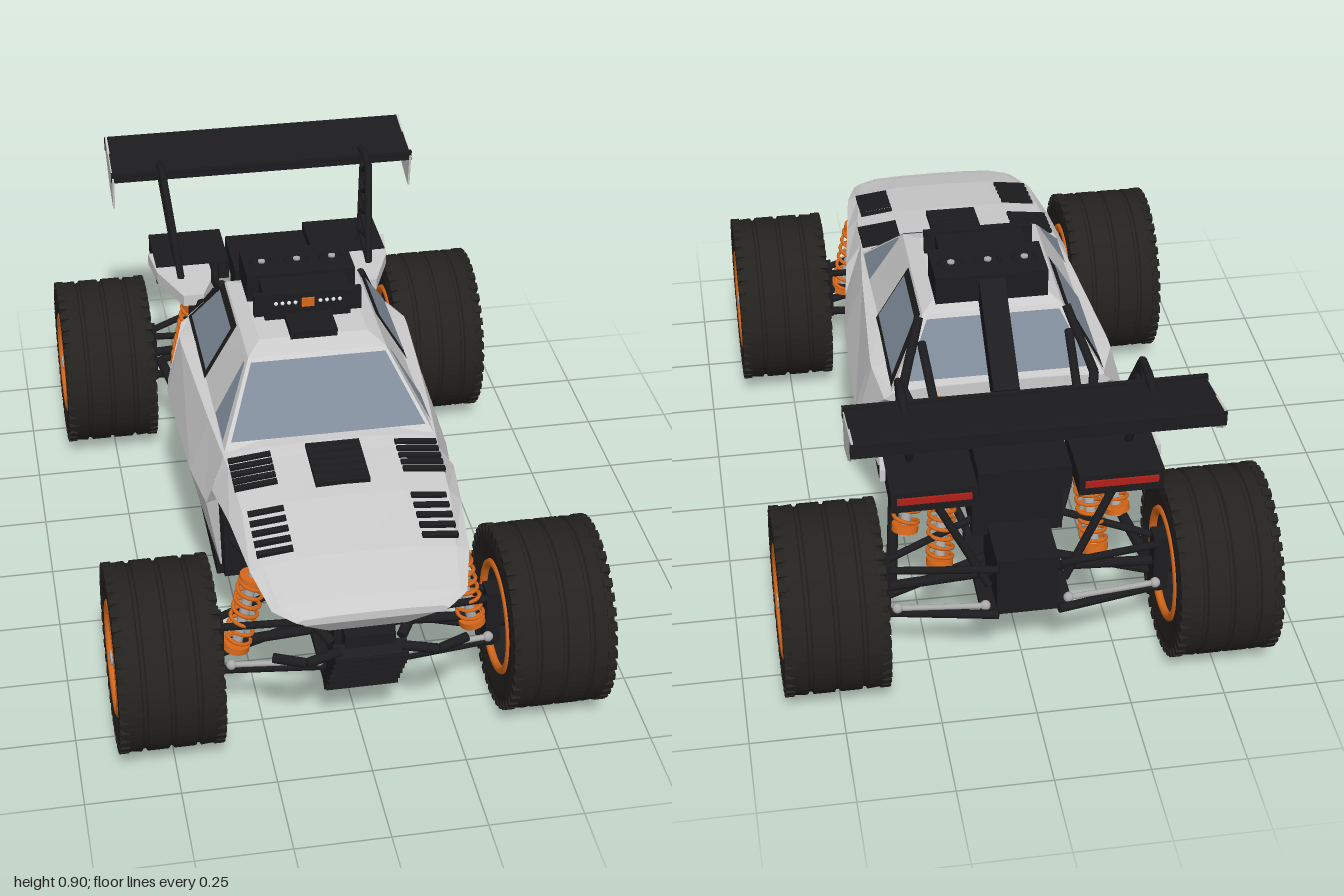
import * as THREE from 'three';
import { mergeGeometries } from 'three/addons/utils/BufferGeometryUtils.js';

const mat = (color, extra = {}) => new THREE.MeshStandardMaterial({ color, ...extra });
const GREY = mat(0xcccccc, { flatShading: true, side: THREE.DoubleSide });
const BLACK = mat(0x1c1c1e), TIRE = mat(0x24221f, { flatShading: true }), ORANGE = mat(0xd8681a);
const GLASS = mat(0x7f8b99, { side: THREE.DoubleSide }), FRAME = mat(0x1c1c1e, { side: THREE.DoubleSide });
const SILVER = mat(0xaaaaaa), RED = mat(0xb02018), WHITE = mat(0xdde4ea);
const V = (p) => new THREE.Vector3(...p);

// helix for the coil springs
class Helix extends THREE.Curve {
  constructor(len, r, turns) { super(); Object.assign(this, { len, r, turns }); }
  getPoint(t, out = new THREE.Vector3()) {
    const a = t * this.turns * Math.PI * 2;
    return out.set(Math.cos(a) * this.r, (t - 0.5) * this.len, Math.sin(a) * this.r);
  }
}

export function createModel() {
  const root = new THREE.Group();
  const add = (name, geo, m, pos = [0, 0, 0], rot = [0, 0, 0], parent = root) => {
    const mesh = new THREE.Mesh(geo, m);
    mesh.name = name;
    mesh.position.set(...pos);
    mesh.rotation.set(...rot);
    parent.add(mesh);
    return mesh;
  };
  const box = (name, size, pos, m = BLACK, rot, parent) => add(name, new THREE.BoxGeometry(...size), m, pos, rot, parent);
  // round rod between two points
  const rod = (name, a, b, r = 0.011, m = BLACK) => {
    const d = V(b).sub(V(a));
    const mesh = add(name, new THREE.CylinderGeometry(r, r, d.length(), 10), m, V(a).add(V(b)).multiplyScalar(0.5).toArray());
    mesh.quaternion.setFromUnitVectors(new THREE.Vector3(0, 1, 0), d.normalize());
    return mesh;
  };
  const chain = (name, pts, r) => pts.slice(1).forEach((p, i) => rod(name, pts[i], p, r));
  // rectangular beam between two points
  const beam = (name, a, b, w, h) => {
    const mesh = box(name, [w, h, V(a).distanceTo(V(b))], V(a).add(V(b)).multiplyScalar(0.5).toArray());
    mesh.lookAt(V(b));
  };
  // skin over a series of closed rings, capped at both ends
  const loft = (name, rings, m) => {
    const pos = [], n = rings[0].length, last = rings.length - 1;
    const tri = (...ps) => ps.forEach((p) => pos.push(...p));
    for (let i = 0; i < last; i++) for (let j = 0; j < n; j++) {
      const k = (j + 1) % n, A = rings[i], B = rings[i + 1];
      tri(A[j], A[k], B[k]);
      tri(A[j], B[k], B[j]);
    }
    for (let j = 1; j < n - 1; j++) {
      tri(rings[0][0], rings[0][j + 1], rings[0][j]);
      tri(rings[last][0], rings[last][j], rings[last][j + 1]);
    }
    const g = new THREE.BufferGeometry();
    g.setAttribute('position', new THREE.Float32BufferAttribute(pos, 3));
    g.computeVertexNormals();
    add(name, g, m);
  };
  // thin flat pane from four corners
  const pane = (name, c, m) => {
    const g = new THREE.BufferGeometry();
    g.setAttribute('position', new THREE.Float32BufferAttribute([0, 1, 2, 0, 2, 3].flatMap((i) => c[i]), 3));
    g.computeVertexNormals();
    add(name, g, m);
  };
  const extrude = (pts, depth) => new THREE.ExtrudeGeometry(new THREE.Shape(pts.map((p) => new THREE.Vector2(...p))), { depth, bevelEnabled: false });

  // body shell: z, top y, then hood crease, hood edge, shoulder and bottom as x, y
  const sections = [
    [0.975, 0.508, 0.1, 0.507, 0.18, 0.503, 0.195, 0.495, 0.17, 0.485],
    [0.93, 0.526, 0.12, 0.524, 0.23, 0.515, 0.25, 0.505, 0.21, 0.495],
    [0.8, 0.568, 0.14, 0.565, 0.25, 0.55, 0.284, 0.535, 0.24, 0.525],
    [0.6, 0.603, 0.16, 0.598, 0.275, 0.583, 0.308, 0.55, 0.26, 0.54],
    [0.42, 0.62, 0.18, 0.616, 0.285, 0.602, 0.33, 0.535, 0.29, 0.51],
    [0.375, 0.628, 0.19, 0.623, 0.29, 0.605, 0.34, 0.46, 0.305, 0.25],
    [0.2, 0.632, 0.2, 0.628, 0.305, 0.61, 0.362, 0.455, 0.315, 0.25],
    [-0.2, 0.628, 0.2, 0.625, 0.33, 0.615, 0.374, 0.455, 0.315, 0.25],
    [-0.24, 0.625, 0.2, 0.622, 0.33, 0.615, 0.368, 0.47, 0.315, 0.39],
    [-0.36, 0.618, 0.2, 0.615, 0.285, 0.608, 0.31, 0.59, 0.26, 0.57]];
  loft('bodyShell', sections.map(([z, top, ...h]) => {
    const half = [0, 2, 4, 6].map((i) => [h[i], h[i + 1], z]);
    return [[0, top, z], ...half, ...half.map(([x, y]) => [-x, y, z]).reverse()];
  }), GREY);
  const slice = (y, z0, z1, w0, w1) => [[-w1, y, z1], [w1, y, z1], [w0, y, z0], [-w0, y, z0]];
  // chin below the nose
  loft('noseChin', [slice(0.5, 0.965, 0.8, 0.185, 0.21), slice(0.46, 0.945, 0.8, 0.17, 0.18), slice(0.41, 0.91, 0.82, 0.1, 0.1)], GREY);
  // cabin: slices from the roof down
  loft('cabin', [slice(0.797, 0.11, -0.2, 0.15, 0.15), slice(0.778, 0.17, -0.25, 0.19, 0.19), slice(0.61, 0.36, -0.36, 0.285, 0.29)], GREY);
  const front = (x, y) => [x, y + 0.004, 0.174 + (0.778 - y) * 1.131];
  const rear = (x, y) => [x, y + 0.004, -0.254 - (0.778 - y) * 0.655];
  pane('windshield', [front(-0.265, 0.625), front(0.265, 0.625), front(0.185, 0.768), front(-0.185, 0.768)], GLASS);
  pane('rearWindow', [rear(0.25, 0.63), rear(-0.25, 0.63), rear(-0.18, 0.765), rear(0.18, 0.765)], GLASS);

  // hood grille
  box('hoodGrille', [0.145, 0.025, 0.165], [0, 0.615, 0.475], BLACK, [0.1, 0, 0]);
  for (let i = 0; i < 6; i++) box('grilleSlat', [0.14, 0.016, 0.012], [0, 0.629 - i * 0.003, 0.405 + i * 0.028]);

  // roof light pod, scoop and intake duct
  box('roofScoop', [0.13, 0.025, 0.1], [0, 0.803, 0.07]);
  box('roofPodFront', [0.24, 0.07, 0.13], [0, 0.835, -0.045]);
  box('roofPod', [0.305, 0.08, 0.15], [0, 0.84, -0.165]);
  box('lightBar', [0.3, 0.065, 0.02], [0, 0.846, 0.01]);
  box('centreLamp', [0.035, 0.025, 0.01], [0, 0.85, 0.022], ORANGE);
  for (const x of [-0.1, 0, 0.1]) {
    add('podFan', new THREE.TorusGeometry(0.032, 0.005, 8, 24), BLACK, [x, 0.88, -0.165], [Math.PI / 2, 0, 0]);
    add('fanHub', new THREE.CylinderGeometry(0.01, 0.01, 0.01, 12), SILVER, [x, 0.88, -0.165]);
  }
  beam('intakeDuct', [0, 0.84, -0.22], [0, 0.65, -0.47], 0.07, 0.065);

  // chassis, engine bay and front bulkhead
  box('chassisPlate', [0.59, 0.05, 0.59], [0, 0.235, 0.08]);
  box('firewall', [0.6, 0.28, 0.02], [0, 0.385, 0.415]);
  box('engineCover', [0.24, 0.22, 0.28], [0, 0.455, -0.53]);
  box('engineTop', [0.24, 0.07, 0.22], [0, 0.595, -0.67]);
  box('gearbox', [0.16, 0.16, 0.22], [0, 0.3, -0.72]);
  box('rearSkid', [0.24, 0.02, 0.34], [0, 0.215, -0.66]);
  box('frontFrame', [0.16, 0.17, 0.44], [0, 0.33, 0.65]);
  box('frontTower', [0.36, 0.08, 0.05], [0, 0.45, 0.7]);
  beam('frontSkid', [0, 0.15, 0.8], [0, 0.37, 0.95], 0.19, 0.04);
  box('frontSkidPlate', [0.19, 0.02, 0.38], [0, 0.165, 0.61]);
  for (let i = 0; i < 6; i++) box('skidRib', [0.19, 0.014, 0.03], [0, 0.17 + i * 0.036, 0.835 + i * 0.0245]);
  box('bumperBlock', [0.13, 0.07, 0.05], [0, 0.375, 0.92]);

  // rear wing
  beam('wingBlade', [0, 0.855, -0.775], [0, 0.89, -0.975], 0.91, 0.022);
  box('wingFlap', [0.92, 0.04, 0.014], [0, 0.88, -0.972]);
  box('wingLip', [0.92, 0.03, 0.012], [0, 0.86, -0.78]);
  const endPlate = extrude([[-0.77, 0.86], [-0.975, 0.905], [-0.975, 0.85], [-0.88, 0.785], [-0.785, 0.755]], 0.006);

  // coil-over shock between two points
  const shock = (name, a, b) => {
    const core = rod(name, a, b, 0.014, SILVER), len = V(a).distanceTo(V(b));
    add('coil', new THREE.TubeGeometry(new Helix(len * 0.8, 0.034, 7), 110, 0.0055, 6), ORANGE, undefined, undefined, core);
    for (const e of [-1, 1]) add('springSeat', new THREE.CylinderGeometry(0.036, 0.036, 0.02, 16), ORANGE, [0, e * len * 0.42, 0], undefined, core);
  };

  for (const s of [-1, 1]) {
    const P = (x, y, z) => [s * x, y, z];
    // side windows
    const side = (z, y, o) => P(0.19 + (0.778 - y) * 0.585 + o, y + o / 2, z);
    pane('windowFrame', [side(0, 0.615, 0.004), side(-0.345, 0.615, 0.004), side(-0.247, 0.775, 0.004), side(-0.005, 0.775, 0.004)], FRAME);
    pane('sideWindow', [side(-0.015, 0.632, 0.008), side(-0.315, 0.632, 0.008), side(-0.237, 0.757, 0.008), side(-0.02, 0.757, 0.008)], GLASS);
    pane('quarterWindow', [side(0.33, 0.622, 0.004), side(0.19, 0.622, 0.004), side(0.165, 0.765, 0.004), side(0.175, 0.765, 0.004)], GLASS);
    // hood louvres
    for (let i = 0; i < 5; i++) {
      const z0 = 0.405 + i * 0.028, z1 = 0.62 + i * 0.036;
      box('louvre', [0.115, 0.014, 0.016], P(0.225, 0.613 - 0.1 * (z0 - 0.4), z0), BLACK, [0.1, 0, -s * 0.12]);
      box('louvre', [0.095, 0.012, 0.016], P(0.215, 0.592 - 0.16 * (z1 - 0.6), z1), BLACK, [0.17, 0, -s * 0.12]);
    }
    // rear fender pods and tail lights
    const pod = [[0.19, 0.72], [0.365, 0.72], [0.35, 0.6], [0.29, 0.45], [0.23, 0.45], [0.19, 0.55]];
    add('rearPod', extrude(pod.map(([x, z]) => [s * x, z]), 0.035), GREY, [0, 0.59, 0], [-Math.PI / 2, 0, 0]);
    box('tailBox', [0.22, 0.06, 0.2], P(0.24, 0.6, -0.73));
    box('tailLight', [0.19, 0.018, 0.008], P(0.24, 0.605, -0.832), RED);
    // wing mounts with lattice bracing
    const railA = (t) => P(0.285 + 0.025 * t, 0.63 + 0.25 * t, -0.55 - 0.15 * t);
    const railB = (t) => P(0.285 + 0.025 * t, 0.63 + 0.22 * t, -0.69 - 0.09 * t);
    chain('wingMount', [railA(0), railA(1), P(0.31, 0.885, -0.77), P(0.31, 0.865, -0.85)], 0.011);
    chain('wingMount', [railB(0), railB(1)], 0.011);
    for (let i = 0; i < 4; i++) chain('mountBrace', [railA(i / 4), railB((i + 0.5) / 4), railA((i + 1) / 4)], 0.009);
    add('wingEndPlate', endPlate, GREY, [s * 0.455 + 0.003, 0, 0], [0, -Math.PI / 2, 0]);
    // roll cage
    chain('rollCage', [P(0.2, 0.77, -0.25), P(0.26, 0.62, -0.36), P(0.22, 0.58, -0.52), P(0.17, 0.57, -0.75)], 0.013);
    chain('rollCage', [P(0.2, 0.72, -0.3), P(0.19, 0.64, -0.5), P(0.16, 0.61, -0.72)], 0.012);
    rod('cageStay', P(0.28, 0.26, -0.2), P(0.25, 0.56, -0.38), 0.014);
    rod('cageStay', P(0.28, 0.57, -0.34), P(0.24, 0.575, -0.62), 0.013);
    rod('cageStay', P(0.25, 0.56, -0.38), P(0.12, 0.3, -0.6));
    rod('rearStay', P(0.24, 0.57, -0.78), P(0.1, 0.3, -0.82));
    rod('fenderRail', P(0.23, 0.495, 0.88), P(0.3, 0.51, 0.42), 0.013);
    rod('fenderRail', P(0.3, 0.51, 0.42), P(0.29, 0.26, 0.39), 0.013);
    rod('bumperStay', P(0.09, 0.36, 0.9), P(0.3, 0.5, 0.6), 0.014);
    chain('bumperBar', [P(0.25, 0.37, 0.945), P(0.17, 0.37, 0.98), P(0.08, 0.37, 0.95)], 0.013);
    box('sideStep', [0.05, 0.04, 0.58], P(0.29, 0.235, 0.08));
    // suspension
    shock('frontShock', P(0.265, 0.49, 0.74), P(0.32, 0.24, 0.74));
    shock('rearShock', P(0.25, 0.58, -0.51), P(0.29, 0.3, -0.58));
    shock('innerShock', P(0.19, 0.48, -0.62), P(0.21, 0.26, -0.68));
    rod('reservoir', P(0.17, 0.57, -0.42), P(0.17, 0.61, -0.42), 0.025, ORANGE);
    for (const [z, d] of [[0.73, 0.1], [-0.74, 0.12]]) {
      for (const e of [-1, 1]) {
        rod('lowerArm', P(0.08, 0.23, z + e * d), P(0.37, 0.2, z + e * 0.03), 0.012);
        rod('upperArm', P(0.08, 0.38, z + e * d), P(0.36, 0.33, z + e * 0.02), 0.01);
      }
      rod('driveShaft', P(0.05, 0.28, z), P(0.45, 0.255, z), 0.014);
      box('hubCarrier', [0.04, 0.17, 0.06], P(0.37, 0.265, z));
      rod('axleHub', P(0.36, 0.255, z), P(0.6, 0.255, z), 0.03);
      const zr = z + Math.sign(z) * 0.09;
      rod('tieRod', P(0.12, 0.24, zr), P(0.34, 0.26, zr), 0.008, SILVER);
      for (const p of [P(0.11, 0.24, zr), P(0.34, 0.26, zr)]) add('rodEnd', new THREE.SphereGeometry(0.014, 12, 8), SILVER, p);
    }
    rod('trailingArm', P(0.27, 0.26, -0.2), P(0.34, 0.25, -0.7), 0.015);
    for (let i = 0; i < 4; i++) add('barLamp', new THREE.SphereGeometry(0.006, 8, 6), WHITE, P(0.035 + i * 0.018, 0.85, 0.02));
  }

  // wheel, axis along x with the outside at +x
  const wheel = new THREE.Group();
  wheel.name = 'wheel';
  const ROT = [0, 0, -Math.PI / 2];
  const profile = [[0.145, -0.12], [0.16, -0.13], [0.205, -0.1365], [0.234, -0.133], [0.245, -0.118]];
  for (const t of [-0.07, 0, 0.07]) profile.push([0.248, t - 0.008], [0.241, t - 0.004], [0.241, t + 0.004], [0.248, t + 0.008]);
  profile.push([0.245, 0.118], [0.234, 0.133], [0.205, 0.1365], [0.16, 0.13], [0.145, 0.12]);
  add('tire', new THREE.LatheGeometry(profile.map((p) => new THREE.Vector2(...p)), 64), TIRE, undefined, ROT, wheel);
  const lugs = [];
  for (let i = 0; i < 40; i++) for (const e of [-1, 1]) {
    const a = ((i + e * 0.25) / 40) * Math.PI * 2;
    lugs.push(new THREE.BoxGeometry(0.024, 0.022, 0.022).translate(e * 0.124, 0.238, 0).rotateX(a));
  }
  add('treadLugs', mergeGeometries(lugs), TIRE, undefined, undefined, wheel);
  add('rimBarrel', new THREE.CylinderGeometry(0.146, 0.146, 0.24, 40, 1, true), FRAME, undefined, ROT, wheel);
  for (const e of [-1, 1]) add('rimRing', new THREE.TorusGeometry(0.145, 0.011, 8, 48), ORANGE, [e * 0.125, 0, 0], [0, Math.PI / 2, 0], wheel);
  add('rimDish', new THREE.CylinderGeometry(0.144, 0.144, 0.015, 40), BLACK, [0.075, 0, 0], ROT, wheel);
  for (let i = 0; i < 10; i++) {
    const a = (i / 10) * Math.PI * 2;
    box('spoke', [0.025, 0.12, 0.016], [0.1, Math.cos(a) * 0.08, Math.sin(a) * 0.08], BLACK, [a, 0, 0], wheel);
  }
  add('hubCap', new THREE.CylinderGeometry(0.035, 0.045, 0.04, 20), BLACK, [0.1, 0, 0], ROT, wheel);
  add('hubNut', new THREE.CylinderGeometry(0.02, 0.02, 0.02, 6), SILVER, [0.125, 0, 0], ROT, wheel);
  add('brakeDisc', new THREE.CylinderGeometry(0.105, 0.105, 0.012, 32), SILVER, [-0.04, 0, 0], ROT, wheel);
  box('brakeCaliper', [0.045, 0.05, 0.08], [-0.05, 0.09, 0], ORANGE, undefined, wheel);
  for (const s of [-1, 1]) for (const z of [0.73, -0.745]) {
    const w = wheel.clone();
    w.position.set(s * 0.51, 0.252, z);
    w.rotation.y = s > 0 ? 0 : Math.PI;
    root.add(w);
  }
  return root;
}
